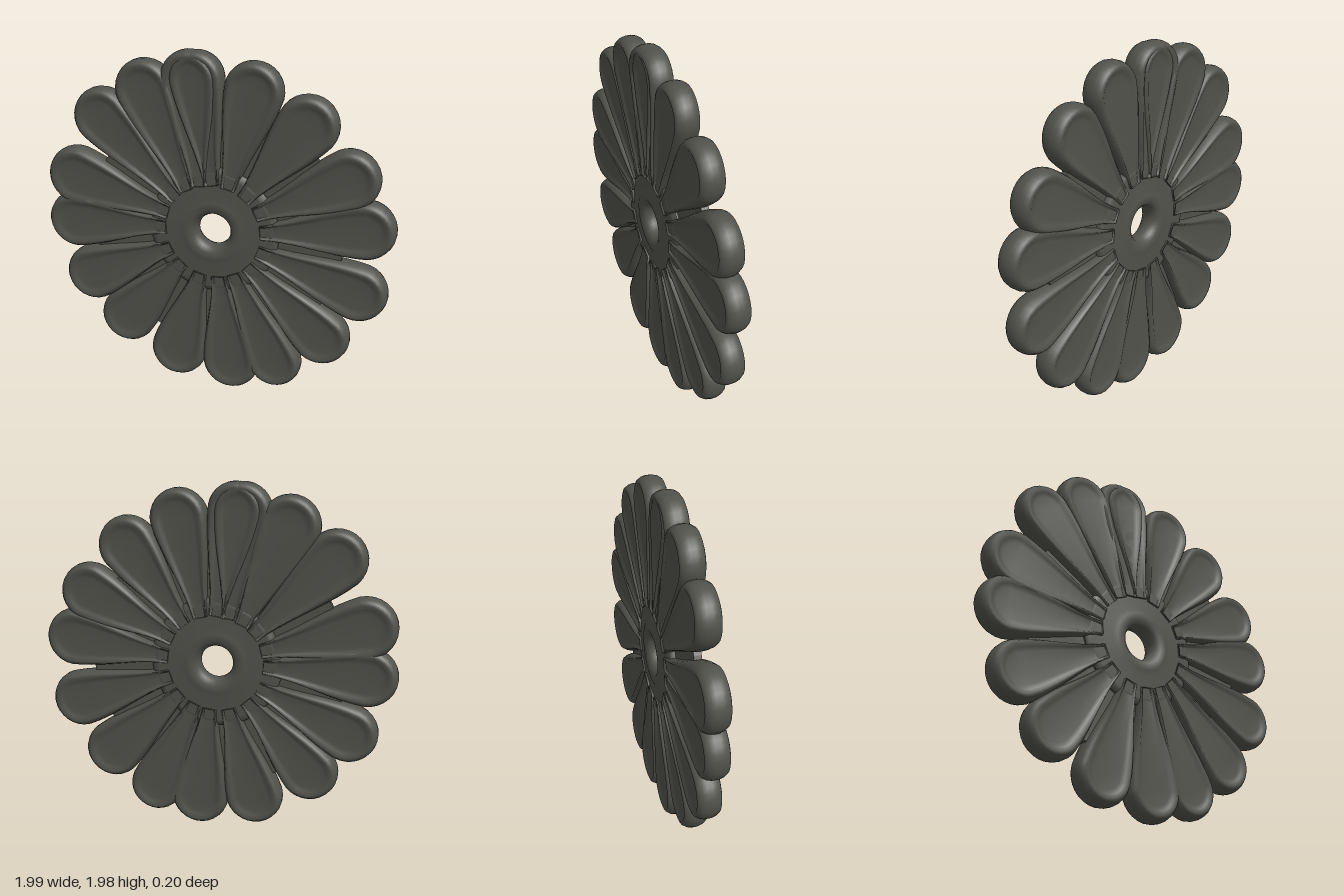
import * as THREE from 'three';

const stone = new THREE.MeshStandardMaterial({ color: 0x52524c });
stone.name = 'dark grey';

// Each petal: tip centre x, y (from the hub centre), tip radius, root angle in degrees
const PETALS = [
  [-0.14, 0.83, 0.16, 107], [-0.10, 0.84, 0.15, 91], [0.21, 0.79, 0.16, 72],
  [0.50, 0.63, 0.165, 50], [0.73, 0.36, 0.165, 28], [0.83, 0.09, 0.165, 5],
  [0.81, -0.28, 0.165, -20], [0.62, -0.58, 0.165, -43], [0.36, -0.78, 0.155, -64],
  [0.10, -0.825, 0.165, -83], [-0.22, -0.79, 0.165, -106], [-0.53, -0.61, 0.165, -131],
  [-0.74, -0.36, 0.165, -153], [-0.83, -0.03, 0.165, 180], [-0.81, 0.24, 0.17, 161],
  [-0.64, 0.595, 0.165, 140], [-0.39, 0.765, 0.165, 123],
];

// Section from the dished front face, over the rounded rim, to the back face
const FRONT = [[0, 0.05], [0.5, 0.05], [0.66, 0.056], [0.78, 0.066], [0.88, 0.06], [0.96, 0.04], [1, 0.015]];
const SECTION = [...FRONT, ...FRONT.map(([s, z]) => [s, -z]).reverse()];

function petalGeometry(length, tip) {
  // Closed outline: x, half width, and the x of the matching spine point
  const outline = [];
  const capSteps = 14, bodySteps = 10;
  for (let i = 0; i <= capSteps; i++) {
    const a = -Math.PI / 2 + (Math.PI * i) / capSteps;
    outline.push([length + tip * Math.cos(a), tip * Math.sin(a), length]);
  }
  const body = [];
  for (let i = 1; i <= bodySteps; i++) {
    const t = 1 - i / bodySteps;
    const ease = 0.35 * t + 0.65 * t * t * (3 - 2 * t);
    body.push([length * t, 0.045 + (tip - 0.045) * ease]);
  }
  body.forEach(([x, w]) => outline.push([x, w, x]));
  [...body].reverse().forEach(([x, w]) => outline.push([x, -w, x]));

  const n = outline.length, pos = [], index = [];
  for (const [s, z] of SECTION)
    for (const [x, y, spine] of outline) pos.push(spine + (x - spine) * s, y * s, z);
  for (let j = 0; j < SECTION.length - 1; j++)
    for (let i = 0; i < n; i++) {
      const k = (i + 1) % n;
      const a = j * n + i, b = j * n + k, c = a + n, d = b + n;
      index.push(a, c, d, a, d, b);
    }
  const g = new THREE.BufferGeometry();
  g.setAttribute('position', new THREE.Float32BufferAttribute(pos, 3));
  g.setIndex(index);
  g.computeVertexNormals();
  return g;
}

export function createModel() {
  const model = new THREE.Group();
  const flower = new THREE.Group();
  flower.name = 'flowerDisc';
  flower.position.y = 1;
  flower.rotation.y = -0.033;
  model.add(flower);

  // Petals run from the hub to their round tips
  PETALS.forEach(([x, y, r, deg], i) => {
    const a = THREE.MathUtils.degToRad(deg);
    const rx = 0.27 * Math.cos(a), ry = 0.27 * Math.sin(a);
    const petal = new THREE.Mesh(petalGeometry(Math.hypot(x - rx, y - ry), r), stone);
    petal.name = `petal${i + 1}`;
    petal.position.set(rx, ry, 0);
    petal.rotation.z = Math.atan2(y - ry, x - rx);
    flower.add(petal);
  });

  // Hub with a raised lip round the centre hole
  const half = [[0.37, 0.03], [0.355, 0.047], [0.33, 0.053], [0.2, 0.053], [0.17, 0.064], [0.13, 0.064], [0.105, 0.045], [0.093, 0.015]];
  const profile = [...half, ...half.map(([r, z]) => [r, -z]).reverse(), half[0]]
    .map(([r, z]) => new THREE.Vector2(r, z));
  const hub = new THREE.Mesh(new THREE.LatheGeometry(profile, 32).rotateX(Math.PI / 2), stone);
  hub.name = 'hub';
  flower.add(hub);

  // Thin web closing the grooves, pierced by a few slits
  const shape = new THREE.Shape().absarc(0, 0, 0.72, 0, Math.PI * 2);
  shape.holes.push(new THREE.Path().absarc(0, 0, 0.25, 0, Math.PI * 2, true));
  for (const [x, y, long, wide, deg] of [
    [-0.53, -0.09, 0.07, 0.02, 5], [-0.285, 0.57, 0.04, 0.015, 116], [-0.09, 0.56, 0.035, 0.015, 98],
  ]) {
    shape.holes.push(new THREE.Path().absellipse(x, y, long, wide, 0, Math.PI * 2, true, THREE.MathUtils.degToRad(deg)));
  }
  const web = new THREE.Mesh(
    new THREE.ExtrudeGeometry(shape, { depth: 0.04, bevelEnabled: false, curveSegments: 24 }).translate(0, 0, -0.02), stone);
  web.name = 'web';
  flower.add(web);

  return model;
}
